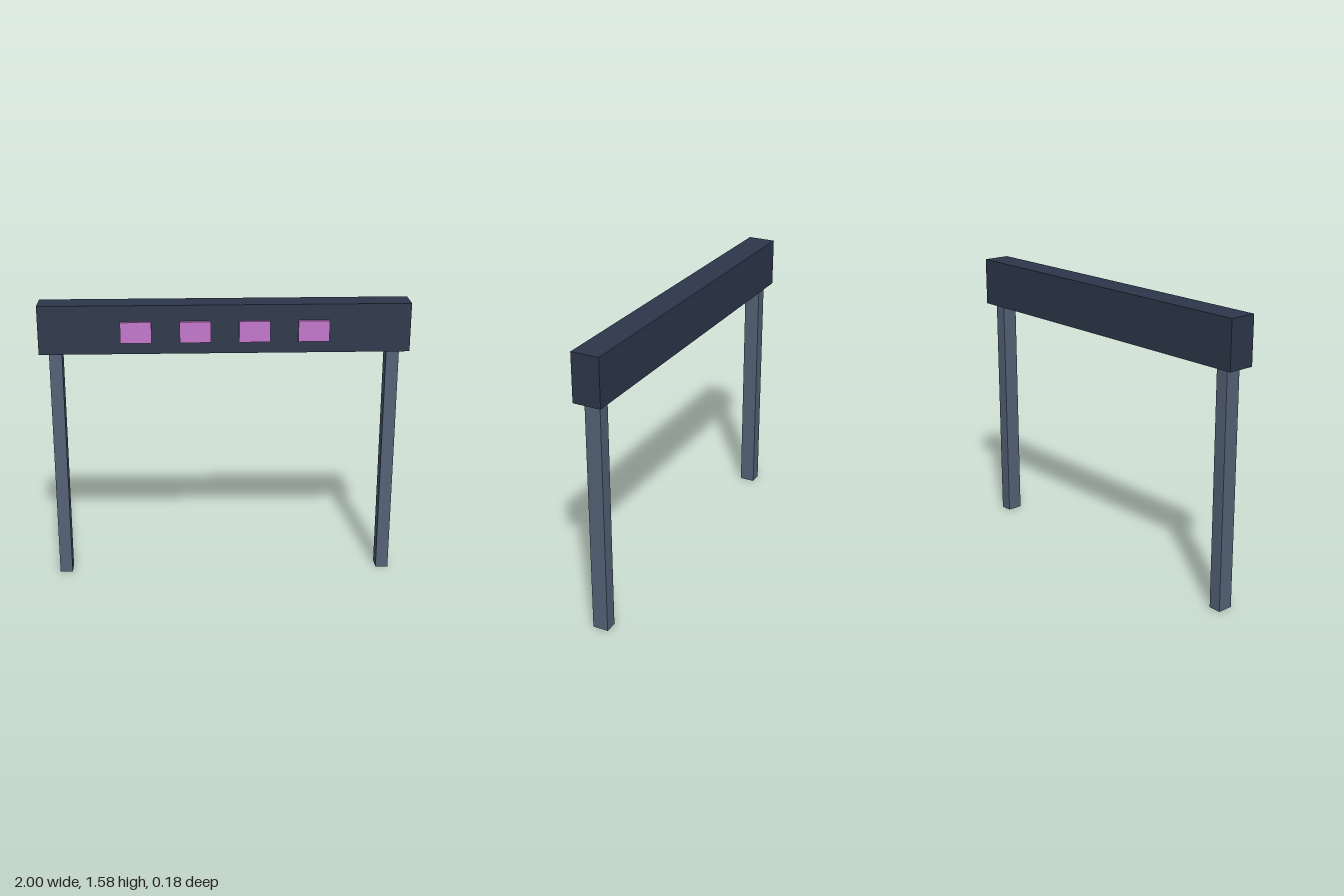
import * as THREE from 'three';

export function createModel() {
  const model = new THREE.Group();
  model.name = 'overheadGantry';

  const material = (name, color) => {
    const m = new THREE.MeshStandardMaterial({ color });
    m.name = name;
    return m;
  };
  const beamNavy = material('beamNavy', 0x2d374b);
  const postSlate = material('postSlate', 0x546277);
  const panelPink = material('panelPink', 0xc478cc);

  const addBox = (name, size, position, mat) => {
    const mesh = new THREE.Mesh(new THREE.BoxGeometry(...size), mat);
    mesh.name = name;
    mesh.position.set(...position);
    model.add(mesh);
  };

  const zMid = -0.01;

  // Crossbeam
  addBox('crossbeam', [2, 0.266, 0.155], [0, 1.447, zMid], beamNavy);

  // Posts, one at each end
  for (const [side, s] of [['left', 1], ['right', -1]]) {
    addBox(`${side}Post`, [0.07, 1.314, 0.087], [s * 0.914, 0.657, zMid], postSlate);
  }

  // Four evenly spaced panels on the front of the beam
  for (let i = 0; i < 4; i++) {
    addBox(`panel${i + 1}`, [0.167, 0.114, 0.021], [(i - 1.5) * 0.318, 1.436, 0.0775], panelPink);
  }

  return model;
}
